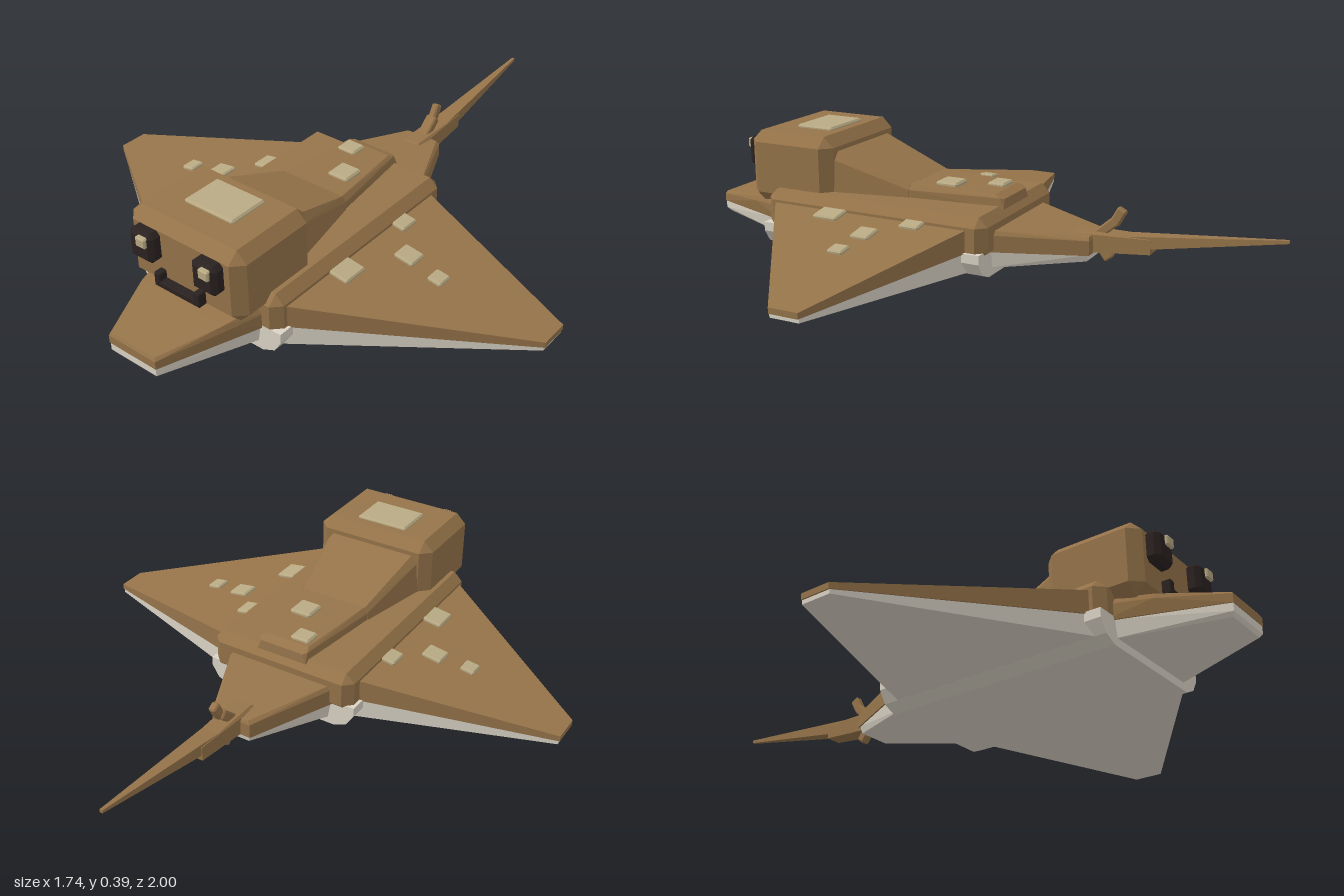
import * as THREE from 'three';
import { ConvexGeometry } from 'three/addons/geometries/ConvexGeometry.js';

const mat = (name, color) => {
  const m = new THREE.MeshStandardMaterial({ color });
  m.name = name;
  return m;
};

export function createModel() {
  const brown = mat('sandy brown', 0x96744a);
  const cream = mat('belly cream', 0xdad3c5);
  const tan = mat('spot tan', 0xb9aa84);
  const black = mat('eye black', 0x2a2220);

  const model = new THREE.Group();
  model.name = 'ray';

  const add = (name, geometry, material, parent = model) => {
    const mesh = new THREE.Mesh(geometry, material);
    mesh.name = name;
    parent.add(mesh);
    return mesh;
  };

  // Faceted solid around a list of [x, y, z] corners
  const hull = (pts) => new ConvexGeometry(pts.map((p) => new THREE.Vector3(...p)));

  // Solid symmetric in x from half-profile corners
  const symmetric = (pts) => hull(pts.flatMap(([x, y, z]) => [[x, y, z], [-x, y, z]]));

  // Box between two corners with bevels on every edge
  const bevelBox = ([x0, y0, z0], [x1, y1, z1], b) => {
    const c = [(x0 + x1) / 2, (y0 + y1) / 2, (z0 + z1) / 2];
    const h = [(x1 - x0) / 2, (y1 - y0) / 2, (z1 - z0) / 2];
    const pts = [];
    for (const sx of [-1, 1]) for (const sy of [-1, 1]) for (const sz of [-1, 1]) {
      const s = [sx, sy, sz];
      for (let k = 0; k < 3; k++) {
        pts.push(c.map((v, i) => v + s[i] * (h[i] - (i === k ? 0 : b))));
      }
    }
    return hull(pts);
  };

  // Body: brown upper shell on a cream belly tray
  add('upperBody', bevelBox([-0.265, 0.06, -0.13], [0.265, 0.2, 0.69], 0.03), brown);
  add('belly', symmetric([-0.12, 0.69].flatMap((z) => [
    [0.275, 0.09, z], [0.275, 0.06, z], [0.25, 0.02, z], [0.205, 0, z],
  ])), cream);

  // Head
  add('head', bevelBox([-0.22, 0.14, 0.465], [0.22, 0.383, 0.787], 0.035), brown);
  add('headSpot', bevelBox([-0.095, 0.37, 0.53], [0.095, 0.393, 0.67], 0.006), tan);

  // Snout: brown top and cream underside
  add('snoutTop', symmetric([
    [0.2, 0.155, 0.66], [0.215, 0.13, 0.66], [0.215, 0.08, 0.66],
    [0.165, 0.142, 0.8], [0.172, 0.125, 0.8],
    [0.085, 0.116, 0.995], [0.092, 0.107, 1], [0.092, 0.08, 1],
  ]), brown);
  add('snoutUnderside', symmetric([
    [0.21, 0.085, 0.66], [0.2, 0.025, 0.66],
    [0.09, 0.081, 0.998], [0.09, 0.055, 0.998], [0.08, 0.042, 0.99],
  ]), cream);

  // Eyes with a square glint on the same side of each
  for (const [side, x] of [['right', -0.123], ['left', 0.12]]) {
    const eye = new THREE.Group();
    eye.name = side + 'Eye';
    eye.position.x = x;
    model.add(eye);
    add('eyeball', bevelBox([-0.047, 0.248, 0.775], [0.047, 0.35, 0.828], 0.015), black, eye);
    add('glint', bevelBox([-0.006, 0.307, 0.815], [0.032, 0.34, 0.838], 0.004), tan, eye);
  }

  // Mouth: bar with two upturned ends
  const mouth = new THREE.Group();
  mouth.name = 'mouth';
  model.add(mouth);
  add('mouthBar', bevelBox([-0.09, 0.172, 0.775], [0.088, 0.193, 0.815], 0.003), black, mouth);
  for (const x of [-0.09, 0.064]) {
    add('mouthCorner', bevelBox([x, 0.172, 0.775], [x + 0.024, 0.22, 0.815], 0.003), black, mouth);
  }

  // Sloping neck and low spine
  add('neck', symmetric([
    [0.19, 0.19, 0.48], [0.18, 0.31, 0.48], [0.158, 0.338, 0.48],
    [0.135, 0.19, 0.21], [0.132, 0.225, 0.21], [0.12, 0.243, 0.21],
  ]), brown);
  add('spine', symmetric([
    [0.132, 0.19, 0.215], [0.132, 0.225, 0.215], [0.118, 0.243, 0.215],
    [0.082, 0.235, -0.08], [0.09, 0.225, -0.1], [0.092, 0.19, -0.115],
    [0.078, 0.222, -0.112],
  ]), brown);
  add('backSpot', bevelBox([-0.075, 0.225, -0.07], [-0.005, 0.247, -0.008], 0.006), tan);
  add('backSpot', bevelBox([0.002, 0.23, 0.06], [0.08, 0.252, 0.138], 0.006), tan);

  // Wings with a brown upper layer, cream lower layer and tilted spots
  const wingLayer = (s, root, tip, inset) => hull([
    ...root.flatMap((y) => [[s * 0.24, y, 0.665 - inset], [s * 0.24, y, -0.075 + inset]]),
    ...tip.flatMap((y) => [[s * (0.87 - inset), y, 0.23], [s * (0.87 - inset), y, 0.13]]),
  ]);
  const slope = (0.165 - 0.064) / 0.63;
  const spots = [[0.295, 0.41, 0.07, 0.09], [0.285, 0.11, 0.05, 0.07],
    [0.385, 0.222, 0.07, 0.066], [0.505, 0.238, 0.05, 0.055]];
  for (const [side, s] of [['left', 1], ['right', -1]]) {
    const wing = new THREE.Group();
    wing.name = side + 'Wing';
    model.add(wing);
    add('wingTop', wingLayer(s, [0.165, 0.088], [0.064, 0.045], 0), brown, wing);
    add('wingUnderside', wingLayer(s, [0.09, 0.02], [0.046, 0.032], 0.005), cream, wing);
    for (const [x, z, w, d] of spots) {
      const spot = add('wingSpot',
        bevelBox([-w / 2, -0.01, -d / 2], [w / 2, 0.011, d / 2], 0.005), tan, wing);
      spot.position.set(s * x, 0.165 - slope * (x - 0.24), z);
      spot.rotation.z = -s * Math.atan(slope);
    }
  }

  // Tapering rump
  add('rumpTop', symmetric([
    [0.195, 0.15, -0.1], [0.205, 0.135, -0.1], [0.205, 0.08, -0.1],
    [0.06, 0.13, -0.395], [0.07, 0.12, -0.4], [0.07, 0.072, -0.4],
  ]), brown);
  add('rumpUnderside', symmetric([
    [0.2, 0.085, -0.1], [0.19, 0.022, -0.1],
    [0.067, 0.074, -0.395], [0.06, 0.05, -0.39],
  ]), cream);

  // Tail: thick root and a long whip tip
  add('tailRoot', symmetric([
    [0.04, 0.068, -0.32], [0.04, 0.13, -0.32], [0.03, 0.14, -0.33],
    [0.028, 0.09, -0.585], [0.028, 0.138, -0.585],
  ]), brown);
  add('tailWhip', symmetric([
    [0.034, 0.075, -0.4], [0.034, 0.128, -0.4],
    [0.005, 0.18, -1], [0.005, 0.19, -1],
  ]), brown);

  // Barbs leaning back above and below the tail
  const barb = (name, y, z, length, angle, w) => {
    const mesh = add(name, bevelBox([-w, 0, -0.016], [w, length, 0.016], 0.005), brown);
    mesh.position.set(0, y, z);
    mesh.rotation.x = angle;
  };
  barb('upperBarb', 0.11, -0.385, 0.1, -0.85, 0.02);
  barb('barbTip', 0.165, -0.455, 0.06, -0.5, 0.013);
  barb('lowerBarb', 0.11, -0.4, 0.075, -2.5, 0.016);

  return model;
}
